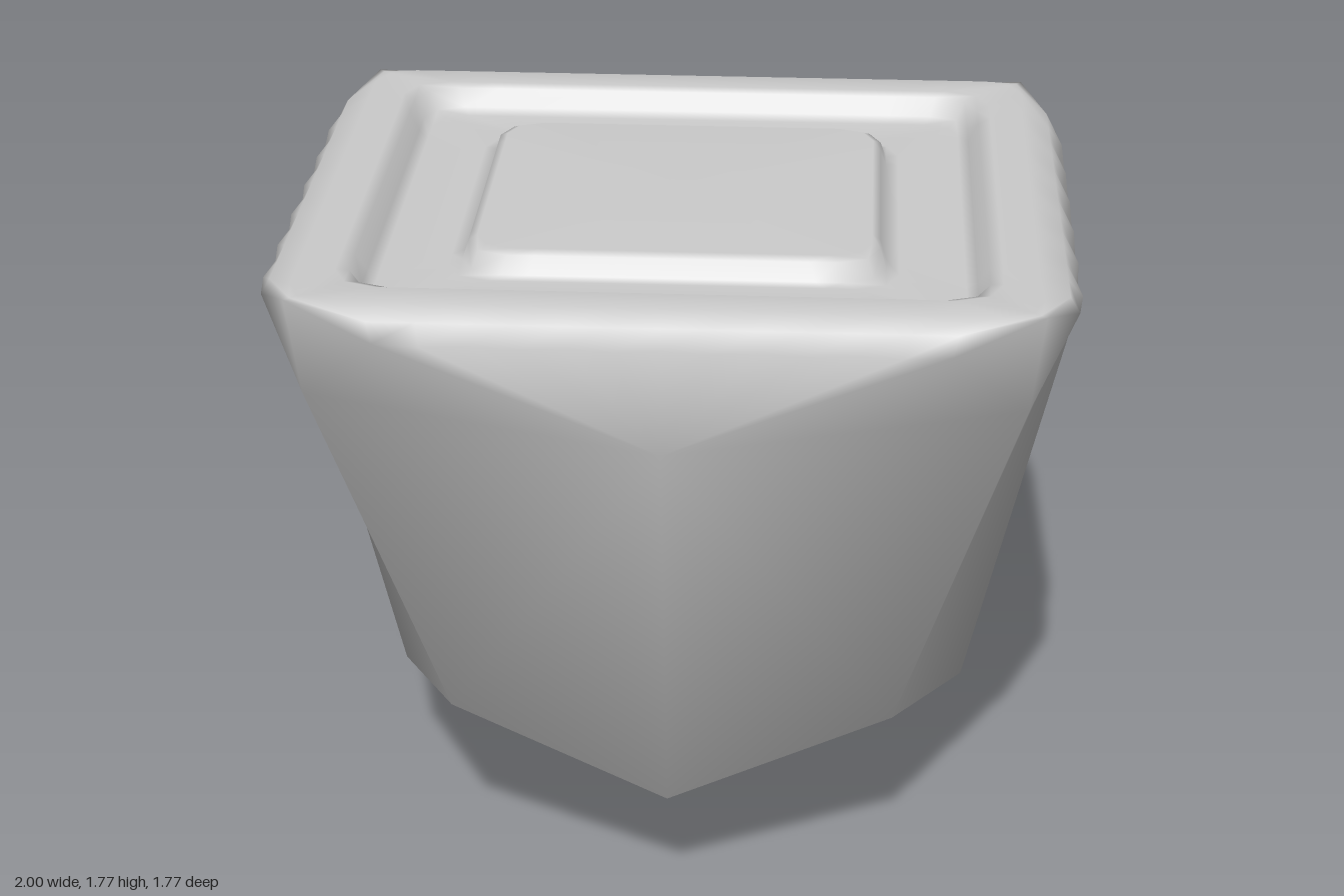
import * as THREE from 'three';
import { mergeVertices } from 'three/addons/utils/BufferGeometryUtils.js';

const N = 12;             // segments along each straight side
const PER_SIDE = N + 2;   // side points plus one corner point
const isCorner = (i) => i % PER_SIDE === PER_SIDE - 1;

// The four sides in order: +x, +z, -x, -z
const DIRS = [[1, 0], [0, 1], [-1, 0], [0, -1]];

// Rounded rectangle ring; cornerY lifts the corner points, flute pushes out every other side point
function rectRing(hx, hz, r, y, cornerY = y, flute = 0) {
  const pts = [];
  const rz = r * 0.885, k = 1 - Math.SQRT1_2;
  DIRS.forEach(([dx, dz], s) => {
    const [nx, nz] = DIRS[(s + 1) % 4];
    for (let j = 0; j <= N; j++) {
      const t = -1 + (2 * j) / N;
      const out = (j % 2) * flute;
      pts.push(new THREE.Vector3(
        dx * (hx + out) + nx * t * (hx - r), y, dz * (hz + out) + nz * t * (hz - rz)));
    }
    pts.push(new THREE.Vector3((dx + nx) * (hx - r * k), cornerY, (dz + nz) * (hz - rz * k)));
  });
  return pts;
}

// Body ring: every side gathers into one middle point between the corners
function bodyRing(mx, mz, my, cx, cz, cy) {
  const pts = [];
  DIRS.forEach(([dx, dz], s) => {
    const [nx, nz] = DIRS[(s + 1) % 4];
    const mid = new THREE.Vector3(dx * mx, my, dz * mz);
    for (let j = 0; j <= N; j++) pts.push(mid);
    pts.push(new THREE.Vector3((dx + nx) * cx, cy, (dz + nz) * cz));
  });
  return pts;
}

function pointRing(y) {
  return new Array(4 * PER_SIDE).fill(new THREE.Vector3(0, y, 0));
}

// Skin a list of rings, ordered from the top centre out and down to the tip
function skin(rings) {
  const pos = [];
  const tri = (a, b, c) => {
    if (a === b || b === c || c === a) return;
    for (const p of [a, b, c]) pos.push(p.x, p.y, p.z);
  };
  for (let k = 0; k < rings.length - 1; k++) {
    const U = rings[k], L = rings[k + 1], n = U.length;
    for (let i = 0; i < n; i++) {
      const j = (i + 1) % n;
      const a = U[i], b = U[j], c = L[j], d = L[i];
      // mirror the diagonal on both sides of a corner
      if (isCorner(i)) { tri(a, b, d); tri(b, c, d); }
      else { tri(a, b, c); tri(a, c, d); }
    }
  }
  let geo = new THREE.BufferGeometry();
  geo.setAttribute('position', new THREE.Float32BufferAttribute(pos, 3));
  geo = mergeVertices(geo, 1e-4);
  geo.computeVertexNormals();
  return geo;
}

export function createModel() {
  const group = new THREE.Group();
  group.name = 'taperedBlock';

  const rings = [
    // raised centre panel
    pointRing(1.76),
    rectRing(0.475, 0.42, 0.09, 1.76),
    rectRing(0.495, 0.44, 0.10, 1.75),
    rectRing(0.51, 0.455, 0.10, 1.705),
    // sunken channel
    rectRing(0.54, 0.48, 0.10, 1.70),
    rectRing(0.70, 0.62, 0.09, 1.70),
    rectRing(0.725, 0.645, 0.10, 1.715),
    // rim
    rectRing(0.75, 0.67, 0.11, 1.76),
    rectRing(0.78, 0.69, 0.11, 1.77),
    rectRing(0.87, 0.775, 0.10, 1.77),
    rectRing(0.935, 0.83, 0.26, 1.745, 1.77),
    rectRing(0.96, 0.853, 0.30, 1.70, 1.77, 0.012),
    // walls and pointed underside
    bodyRing(1.0, 0.885, 1.45, 0.845, 0.745, 1.52),
    bodyRing(0.75, 0.66, 0.37, 0.56, 0.5, 0.53),
    pointRing(0),
  ];

  const body = new THREE.Mesh(
    skin(rings), new THREE.MeshStandardMaterial({ color: 0xcccccc }));
  body.name = 'body';
  group.add(body);
  return group;
}
